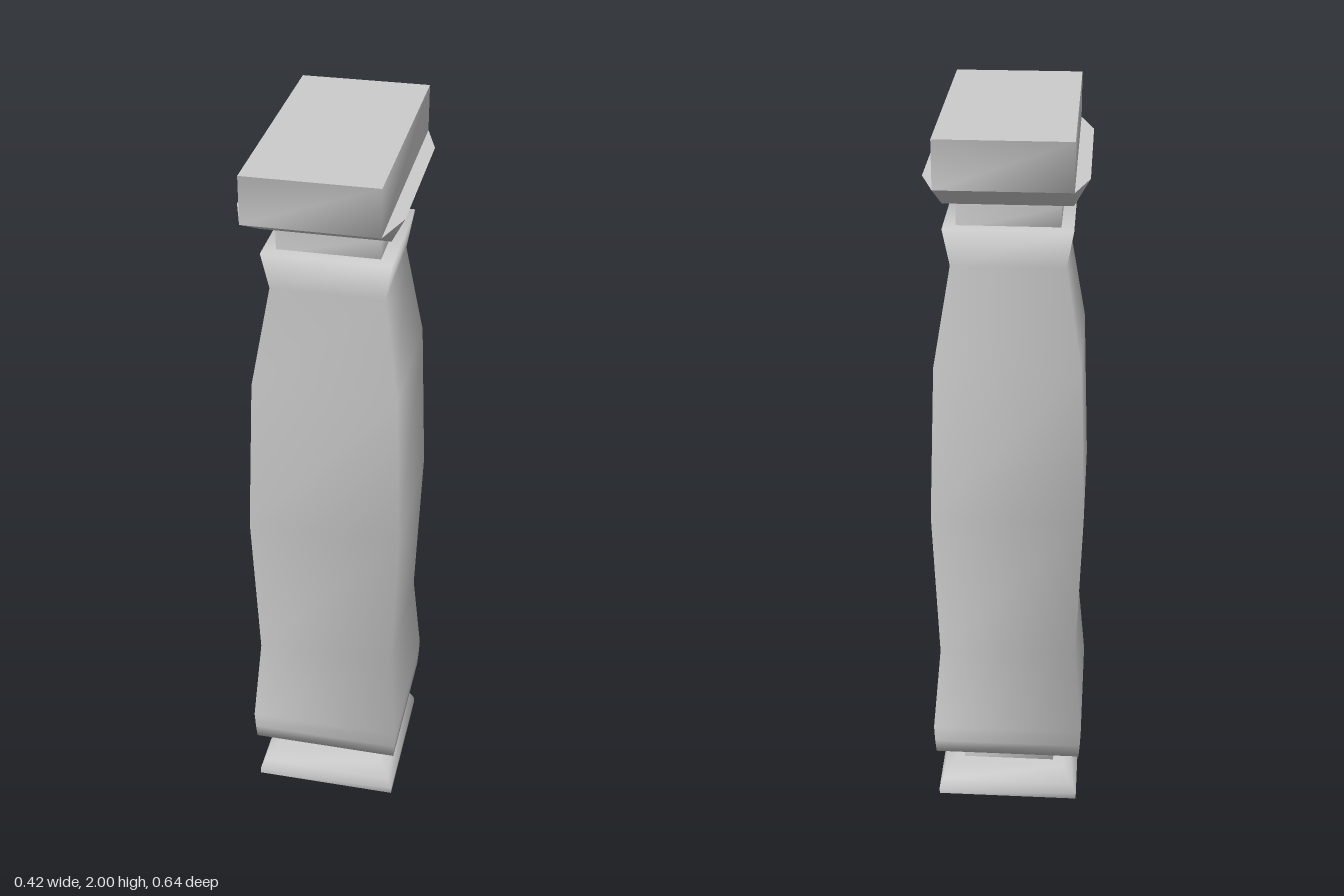
import * as THREE from 'three';

const material = new THREE.MeshStandardMaterial({ color: 0xcccccc });

// Corners of a rectangular ring, running from +z towards +x
const rect = (hx, hz = hx) => [[-hx, hz], [hx, hz], [hx, -hz], [-hx, -hz]];

// Joins rings of equal point count with smooth sides; each end is capped,
// either sharing the side vertices (soft edge) or with its own (crisp edge).
function loft(rings, softBottom = false, softTop = false) {
  const n = rings[0].points.length;
  const pos = [], index = [];
  const addRing = ({ y, points }) => {
    const start = pos.length / 3;
    for (const [x, z] of points) pos.push(x, y, z);
    return start;
  };
  const starts = rings.map(addRing);
  for (let r = 0; r < rings.length - 1; r++) {
    for (let i = 0; i < n; i++) {
      const j = (i + 1) % n, a = starts[r], b = starts[r + 1];
      index.push(a + i, a + j, b + j, a + i, b + j, b + i);
    }
  }
  const last = rings.length - 1;
  const bottom = softBottom ? starts[0] : addRing(rings[0]);
  const top = softTop ? starts[last] : addRing(rings[last]);
  for (let i = 1; i < n - 1; i++) {
    index.push(bottom, bottom + i + 1, bottom + i);
    index.push(top, top + i, top + i + 1);
  }
  const geometry = new THREE.BufferGeometry();
  geometry.setAttribute('position', new THREE.Float32BufferAttribute(pos, 3));
  geometry.setIndex(index);
  geometry.computeVertexNormals();
  return geometry;
}

const squares = (profile) => profile.map(([y, h]) => ({ y, points: rect(h) }));

export function createModel() {
  const group = new THREE.Group();
  group.name = 'squarePillar';
  const add = (name, geometry) => {
    const mesh = new THREE.Mesh(geometry, material);
    mesh.name = name;
    group.add(mesh);
  };

  // Plinth with sloping shoulders
  add('plinth', loft(squares([[0, 0.2], [0.02, 0.2], [0.045, 0.19], [0.085, 0.16]]), false, true));

  // Recessed necks below and above the shaft
  add('lowerNeck', loft(squares([[0.08, 0.13], [0.165, 0.13]])));
  add('upperNeck', loft(squares([[1.72, 0.13], [1.78, 0.13], [1.8, 0.125]])));

  // Swelling shaft with a flared collar
  add('shaft', loft(squares([
    [0.16, 0.205], [0.2, 0.208], [0.25, 0.21], [0.5, 0.188], [0.94, 0.203],
    [1.37, 0.188], [1.63, 0.145], [1.73, 0.162],
  ]), true, true));

  // Capital: square underside flaring to an eight-cornered rim
  const rim = [
    [-0.165, 0.32], [0.165, 0.32], [0.2, 0.21], [0.2, -0.21],
    [0.165, -0.32], [-0.165, -0.32], [-0.2, -0.21], [-0.2, 0.21],
  ];
  const foot = rim.map(([x, z]) => [Math.sign(x) * 0.16, Math.sign(z) * (Math.abs(z) > 0.3 ? 0.16 : 0.155)]);
  add('capital', loft([{ y: 1.795, points: foot }, { y: 1.88, points: rim }]));

  // Long slab on top
  add('topSlab', loft([1.88, 2].map((y) => ({ y, points: rect(0.165, 0.32) }))));

  return group;
}
